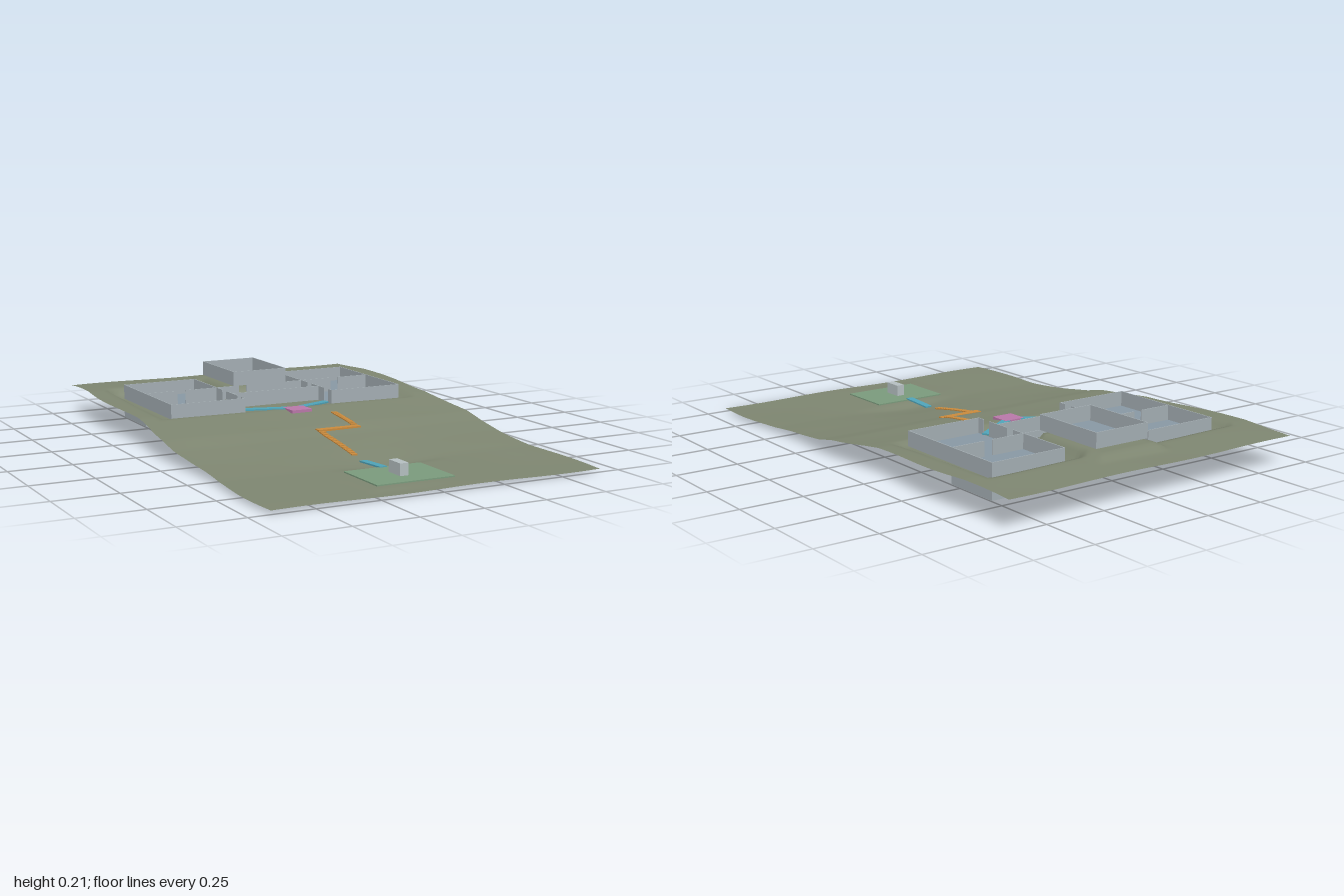
import * as THREE from 'three';

const mat = (color) => new THREE.MeshStandardMaterial({ color, side: THREE.DoubleSide });
const GROUND = mat(0x7d8570), WALL = mat(0xa3adb2), FLOOR = mat(0x8797a3), ORANGE = mat(0xc98a3c),
  BLUE = mat(0x4fa3b8), PINK = mat(0xb877a8), GREEN = mat(0x7a9a7c);
const { lerp, smoothstep, clamp } = THREE.MathUtils;

// Hillside height: a sloping profile, a level bench for the wings and a mound for the raised room
const PROFILE = [[-1, 0.12], [-0.85, 0.127], [-0.76, 0.13], [-0.2, 0.112], [-0.13, 0.104], [0, 0.088],
  [0.1, 0.078], [0.2, 0.058], [0.35, 0.04], [0.57, 0.022], [0.8, 0.018], [1, 0.016]];
const inside = (x, z, x1, z0, z1, fade) => {
  const d = Math.max(Math.abs(x) - x1, z0 - z, z - z1);
  return 1 - smoothstep(d, 0, fade);
};
function ground(x, z) {
  const i = clamp(PROFILE.findIndex((p) => z <= p[0]), 1, PROFILE.length - 1);
  const [a, b] = [PROFILE[i - 1], PROFILE[i]];
  let y = lerp(a[1], b[1], clamp((z - a[0]) / (b[0] - a[0]), 0, 1));
  y += 0.003 * Math.sin(x * 9) * Math.cos(z * 7);
  y -= 0.02 * Math.exp(-((x / 0.2) ** 2) - ((z - 0.55) / 0.15) ** 2);
  y = lerp(y, 0.019, inside(x, z, 0.22, 0.63, 0.9, 0.06));
  y = lerp(y, 0.09, inside(x, z, 0.54, -0.74, -0.2, 0.05));
  return lerp(y, 0.147, inside(x, z, 0.125, -0.84, -0.5, 0.05));
}

function add(parent, name, geometry, material, x = 0, y = 0, z = 0) {
  const mesh = new THREE.Mesh(geometry, material);
  mesh.name = name;
  mesh.position.set(x, y, z);
  parent.add(mesh);
  return mesh;
}

// Box given by its limits
function block(parent, name, material, x0, x1, y0, y1, z0, z1) {
  return add(parent, name, new THREE.BoxGeometry(x1 - x0, y1 - y0, z1 - z0), material,
    (x0 + x1) / 2, (y0 + y1) / 2, (z0 + z1) / 2);
}

// Flat strip between two points
function strip(parent, name, material, a, b, width, thick) {
  const from = new THREE.Vector3(...a), to = new THREE.Vector3(...b);
  const mesh = add(parent, name, new THREE.BoxGeometry(width, thick, from.distanceTo(to)), material);
  mesh.position.copy(from).lerp(to, 0.5);
  mesh.lookAt(to);
}

// Level floor with an optional square stair opening [x, z]
function floor(parent, x0, x1, z0, z1, y, hole) {
  const rect = (s, a, b, c, d) => s.moveTo(a, c).lineTo(b, c).lineTo(b, d).lineTo(a, d).closePath();
  const shape = rect(new THREE.Shape(), x0, x1, -z1, -z0);
  if (hole) {
    const [x, z] = hole;
    shape.holes.push(rect(new THREE.Path(), x - 0.02, x + 0.02, -z - 0.02, -z + 0.02));
  }
  add(parent, 'floor', new THREE.ShapeGeometry(shape).rotateX(-Math.PI / 2), FLOOR, 0, y, 0);
}

const T = 0.002; // half the wall thickness
// Straight wall along x or z, with an optional door centred at `door`
function wall(parent, axis, at, from, to, y0, y1, door) {
  const spans = door === undefined ? [[from, to]] : [[from, door - 0.02], [door + 0.02, to]];
  for (const [a, b] of spans) {
    if (axis === 'x') block(parent, 'wall', WALL, a - T, b + T, y0, y1, at - T, at + T);
    else block(parent, 'wall', WALL, at - T, at + T, y0, y1, a - T, b + T);
  }
}

// Small flight of steps climbing towards +x
function steps(parent, x, z, y0, y1) {
  const n = 6;
  for (let i = 0; i < n; i++) {
    const top = lerp(y0, y1, (i + 1) / n), left = x - 0.018 + (i * 0.036) / n;
    block(parent, 'indoorStep', ORANGE, left, left + 0.036 / n, top - 0.012, top, z - 0.015, z + 0.015);
  }
}

function group(parent, name) {
  const g = new THREE.Group();
  g.name = name;
  parent.add(g);
  return g;
}

export function createModel() {
  const model = new THREE.Group();
  model.name = 'hillsideCompound';

  // Terrain sheet with gently waving sides
  const land = new THREE.PlaneGeometry(2, 2, 66, 100).rotateX(-Math.PI / 2);
  const p = land.attributes.position;
  for (let i = 0; i < p.count; i++) {
    const z = p.getZ(i);
    const x = p.getX(i) * (0.667 + 0.01 * Math.cos(((z - 0.12) * 2 * Math.PI) / 0.7));
    p.setXYZ(i, x, ground(x, z), z);
  }
  land.computeVertexNormals();
  add(model, 'terrain', land, GROUND);

  // Ground-level wings, each with two rooms
  const Y0 = 0.095, Y1 = 0.155;
  for (const s of [-1, 1]) {
    const wing = group(model, s > 0 ? 'leftWing' : 'rightWing');
    const x0 = s > 0 ? 0.2 : -0.52, x1 = x0 + 0.32;
    const stairX = s > 0 ? 0.28 : -0.44;
    floor(wing, x0, x1, -0.72, -0.48, Y0, [stairX, -0.68]);
    floor(wing, x0, x1, -0.48, -0.2, Y0);
    for (const z of [-0.72, -0.2]) wall(wing, 'x', z, x0, x1, Y0, Y1);
    wall(wing, 'x', -0.48, x0, x1, Y0, Y1, s * 0.36);
    wall(wing, 'z', s * 0.52, -0.72, -0.2, Y0, Y1);
    wall(wing, 'z', s * 0.2, -0.72, -0.48, Y0, Y1);
    wall(wing, 'z', s * 0.2, -0.32, -0.2, Y0, Y1, -0.25);
    wall(wing, 'z', s * 0.2, -0.48, -0.32, Y0, Y1, -0.4);
    steps(wing, stairX, -0.68, 0.02, Y0 + 0.004);
  }

  // Hall joining the wings
  const hall = group(model, 'hall');
  floor(hall, -0.2, 0.2, -0.48, -0.32, Y0);
  wall(hall, 'x', -0.32, -0.2, 0.2, Y0, Y1);
  wall(hall, 'x', -0.48, -0.2, 0.2, Y0, Y1, -0.08);

  // Raised room behind the hall
  const upper = group(model, 'raisedRoom');
  floor(upper, -0.12, 0.12, -0.8, -0.48, Y1, [0.08, -0.56]);
  for (const z of [-0.8, -0.48]) wall(upper, 'x', z, -0.12, 0.12, Y1, 0.215);
  for (const x of [-0.12, 0.12]) wall(upper, 'z', x, -0.8, -0.48, Y1, 0.215);
  steps(upper, 0.08, -0.56, Y0, Y1 + 0.004);

  // Basement: a long room with a narrower one in front
  const cellar = group(model, 'basement');
  const B0 = 0.017, B1 = 0.075;
  floor(cellar, -0.52, 0.52, -0.72, -0.48, B0);
  floor(cellar, -0.2, 0.2, -0.48, -0.32, B0);
  wall(cellar, 'x', -0.72, -0.52, 0.52, B0, B1);
  wall(cellar, 'x', -0.48, -0.52, 0.52, B0, B1, 0);
  wall(cellar, 'x', -0.32, -0.2, 0.2, B0, B1);
  for (const s of [-1, 1]) {
    wall(cellar, 'z', s * 0.52, -0.72, -0.48, B0, B1);
    wall(cellar, 'z', s * 0.2, -0.72, -0.48, B0, B1, -0.6);
    wall(cellar, 'z', s * 0.2, -0.48, -0.32, B0, B1);
  }

  // Plaza and the two ramps to the wings
  block(model, 'plaza', PINK, -0.045, 0.045, 0.098, 0.11, -0.165, -0.08);
  for (const s of [-1, 1]) {
    strip(model, 'wingRamp', BLUE, [s * 0.035, 0.107, -0.155], [s * 0.2, 0.099, -0.247], 0.035, 0.006);
  }

  // Outdoor stairway: two flights and a cross landing
  const stairway = group(model, 'stairway');
  const flight = (x, z0, z1, n) => {
    const d = (z1 - z0) / n;
    for (let i = 0; i < n; i++) {
      const y = ground(x, z0 + (i + 0.5) * d) + 0.004;
      block(stairway, 'step', ORANGE, x - 0.012, x + 0.012, y - 0.016, y, z0 + i * d, z0 + (i + 1) * d);
    }
  };
  flight(-0.038, 0.16, 0.43, 14);
  flight(0.122, -0.04, 0.13, 12);
  const ly = ground(0.04, 0.145) + 0.004;
  block(stairway, 'landing', ORANGE, -0.05, 0.138, ly - 0.016, ly, 0.13, 0.16);

  // Entrance pad, its marker block and the approach ramp
  block(model, 'entrancePad', GREEN, -0.2, 0.12, 0.017, 0.024, 0.64, 0.88);
  block(model, 'markerBlock', mat(0xb4bec0), -0.06, -0.025, 0.024, 0.07, 0.72, 0.8);
  strip(model, 'approachRamp', BLUE, [-0.042, 0.025, 0.65], [-0.042, ground(-0.04, 0.5) + 0.006, 0.5], 0.03, 0.006);

  return model;
}
